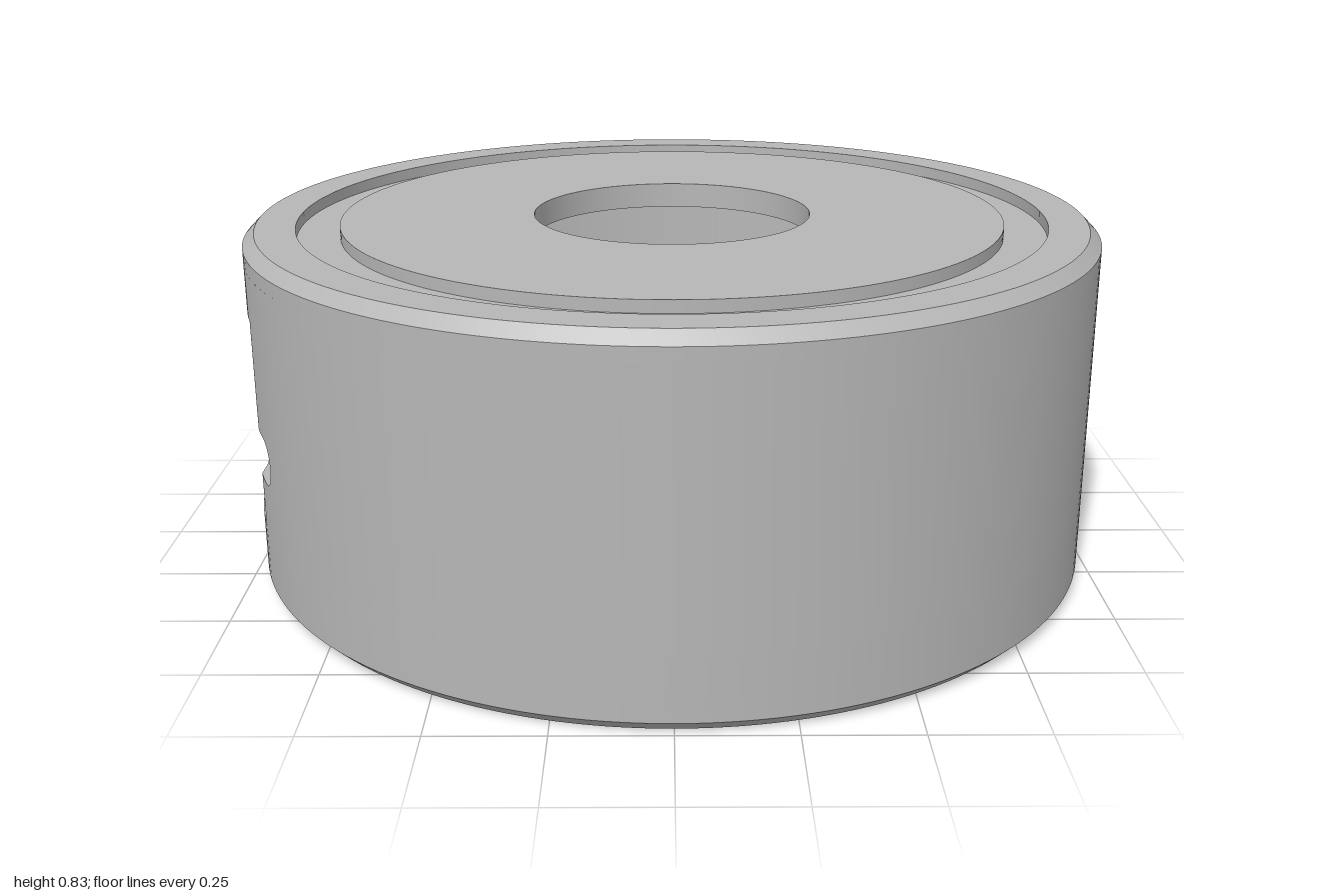
import * as THREE from 'three';
import { toCreasedNormals } from 'three/addons/utils/BufferGeometryUtils.js';

const RO = 1, RI = 0.935, FLAT = 0.945, HALF = 36;
const rad = THREE.MathUtils.degToRad;

export function createModel() {
  const model = new THREE.Group();
  const grey = new THREE.MeshStandardMaterial({ color: 0xb6b6b6 });
  grey.name = 'matte grey';

  const add = (name, geometry, parent = model) => {
    const mesh = new THREE.Mesh(geometry, grey);
    mesh.name = name;
    parent.add(mesh);
    return mesh;
  };

  // Closed profile revolved around y, optionally leaving an arc open
  const ring = (name, pts, segments, start = 0, length = Math.PI * 2) => {
    const profile = [...pts, pts[0]].map(([r, y]) => new THREE.Vector2(r, y));
    return add(name, toCreasedNormals(new THREE.LatheGeometry(profile, segments, start, length), 0.4));
  };

  // Plan outline (shape y points to -z) raised from y0 to y1
  const raise = (shape, y0, y1) => new THREE.ExtrudeGeometry(shape,
    { depth: y1 - y0, bevelEnabled: false, curveSegments: 24 }).rotateX(-Math.PI / 2).translate(0, y0, 0);

  const circle = (x, y, r) => new THREE.Path().absarc(x, y, r, 0, Math.PI * 2, true);
  const rect = (Type, x0, x1, y0, y1) => new Type().moveTo(x0, y0).lineTo(x1, y0)
    .lineTo(x1, y1).lineTo(x0, y1).closePath();

  // Cap with chamfer, circular groove and central opening
  ring('cap', [[RI, 0.77], [RO, 0.77], [RO, 0.803], [0.973, 0.83], [0.88, 0.83], [0.88, 0.802],
    [0.78, 0.802], [0.78, 0.83], [0.328, 0.83], [0.328, 0.77]], 180);

  // Chamfered foot ring and plain part of the wall
  ring('baseRing', [[RI, 0], [0.973, 0], [RO, 0.027], [RO, 0.17], [RI, 0.17]], 180);
  ring('wall', [[RI, 0.17], [RO, 0.17], [RO, 0.77], [RI, 0.77]], 144,
    Math.PI * 1.5 + rad(HALF), Math.PI * 2 - rad(2 * HALF));

  add('connectorPanel', connectorPanel());

  // Hanging mounting frame with two screw holes
  const frame = rect(THREE.Shape, -0.167, 0.167, -0.225, 0.49);
  frame.holes.push(rect(THREE.Path, -0.12, 0.12, -0.115, 0.38),
    circle(0, -0.155, 0.02), circle(0, 0.42, 0.02));
  add('mountingFrame', raise(frame, 0.38, 0.48));

  // Shelf reaching inward from the connector panel
  add('boardShelf', new THREE.BoxGeometry(0.66, 0.08, 0.32).translate(-0.595, 0.31, -0.095));

  // Four screw posts, each with a nut slot facing the middle
  const solid = new THREE.Shape().moveTo(0.1, 0.115).lineTo(0.1, 0)
    .absarc(0, 0, 0.1, 0, -Math.PI, true).lineTo(-0.1, 0.115).closePath();
  solid.holes.push(circle(0, 0, 0.03));
  const slotted = new THREE.Shape().moveTo(0.1, 0.115).lineTo(0.1, 0)
    .absarc(0, 0, 0.1, 0, -0.988, true).lineTo(0.055, 0.045).lineTo(-0.055, 0.045)
    .absarc(0, 0, 0.1, Math.PI + 0.988, Math.PI, true).lineTo(-0.1, 0.115).closePath();
  for (const sx of [-1, 1]) for (const sz of [-1, 1]) {
    const post = new THREE.Group();
    post.name = 'screwPost';
    post.position.set(0.4 * sx, 0, 0.73 * sz);
    post.rotation.y = Math.atan2(-0.4 * sx, -0.73 * sz);
    add('postBottom', toCreasedNormals(raise(solid, 0.23, 0.3), 0.5), post);
    add('postNutSlot', toCreasedNormals(raise(slotted, 0.3, 0.35), 0.5), post);
    add('postTop', toCreasedNormals(raise(solid, 0.35, 0.44), 0.5), post);
    model.add(post);
  }
  return model;
}

// Wall sector around -x with a flat recess, a square window and three rounded slots
function connectorPanel() {
  // Opening: angle range in degrees, centre height, half height, end radius (0 = square)
  const opening = (a0, a1, y, h, round) => ({
    a0, a1, y,
    half(a) {
      const edge = rad(Math.min(a - a0, a1 - a));
      if (!round || edge >= h) return h;
      const u = 1 - Math.max(edge, 0) / h;
      return h * Math.sqrt(Math.max(0, 1 - u * u));
    },
  });
  const bands = [
    { y0: 0.17, y1: 0.655, flat: true, openings: [
      opening(-30.5, -16.5, 0.43, 0.08, false),
      opening(-11, 2.5, 0.42, 0.052, true),
      opening(13.5, 26.5, 0.345, 0.055, true)] },
    { y0: 0.655, y1: 0.77, flat: false, openings: [opening(-9.5, 9.5, 0.712, 0.056, true)] },
  ];

  const pos = [];
  const point = (r, a, y) => [-r * Math.cos(rad(a)), y, r * Math.sin(rad(a))];
  const faces = [[0, 1, 2, 3], [5, 4, 7, 6], [3, 2, 6, 7], [4, 5, 1, 0], [1, 5, 6, 2], [4, 0, 3, 7]];

  // Six-sided block between two angles, with its own lower and upper heights at each
  const block = (a, b, flat, loA, loB, hiA, hiB) => {
    const outer = (t) => (flat ? Math.min(RO, FLAT / Math.cos(rad(t))) : RO);
    const c = [[outer(a), outer(b)], [RI, RI]].flatMap(([ra, rb]) =>
      [point(ra, a, loA), point(rb, b, loB), point(rb, b, hiB), point(ra, a, hiA)]);
    for (const [i, j, k, l] of faces) pos.push(...c[i], ...c[j], ...c[k], ...c[i], ...c[k], ...c[l]);
  };

  const step = 0.5;
  for (const { y0, y1, flat, openings } of bands) {
    for (let a = -HALF; a < HALF; a += step) {
      const b = a + step;
      const o = openings.find((q) => a + step / 2 > q.a0 && a + step / 2 < q.a1);
      if (!o) {
        block(a, b, flat, y0, y0, y1, y1);
        continue;
      }
      const ha = o.half(a), hb = o.half(b);
      block(a, b, flat, y0, y0, o.y - ha, o.y - hb);
      block(a, b, flat, o.y + ha, o.y + hb, y1, y1);
    }
  }
  const geometry = new THREE.BufferGeometry();
  geometry.setAttribute('position', new THREE.Float32BufferAttribute(pos, 3));
  return toCreasedNormals(geometry, 0.25);
}
